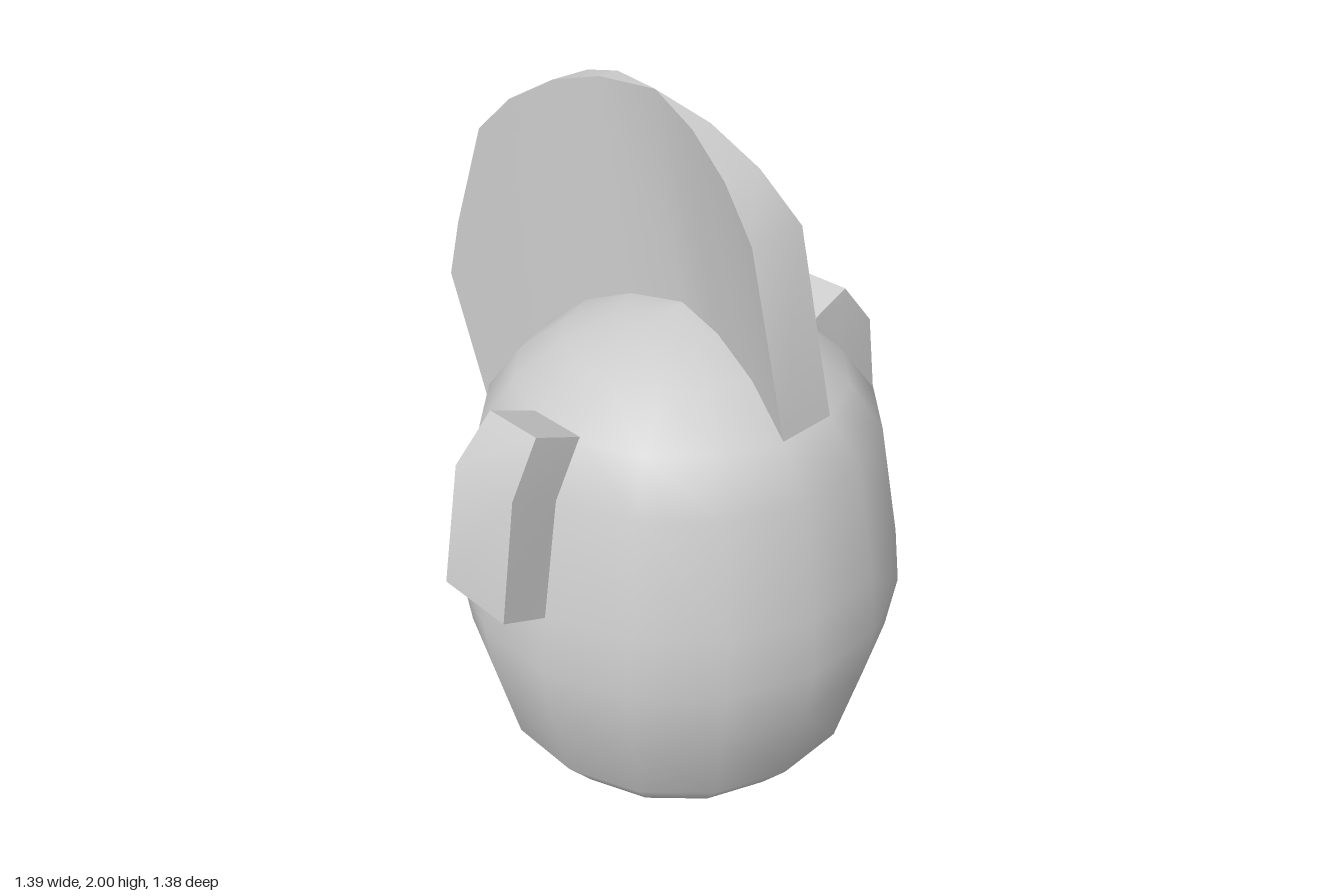
import * as THREE from 'three';
import { toCreasedNormals } from 'three/addons/utils/BufferGeometryUtils.js';

const material = new THREE.MeshStandardMaterial({ color: 0xcccccc, side: THREE.DoubleSide });
const CENTRE_Z = 0.1;

// Closed strip through a row of four-cornered sections (outer+, outer-, inner-, inner+).
function stripGeometry(sections) {
  const positions = [];
  const quad = (a, b, c, d) => {
    for (const p of [a, b, c, a, c, d]) positions.push(...p);
  };
  for (let k = 0; k < sections.length - 1; k++) {
    const s = sections[k], n = sections[k + 1];
    for (let j = 0; j < 4; j++) {
      const i = (j + 1) % 4;
      quad(s[i], s[j], n[j], n[i]);
    }
  }
  quad(...sections[0]);
  quad(...[...sections[sections.length - 1]].reverse());
  const geometry = new THREE.BufferGeometry();
  geometry.setAttribute('position', new THREE.Float32BufferAttribute(positions, 3));
  return toCreasedNormals(geometry, 0.9);
}

function addMesh(group, name, geometry) {
  const mesh = new THREE.Mesh(geometry, material);
  mesh.name = name;
  group.add(mesh);
  return mesh;
}

export function createModel() {
  const model = new THREE.Group();
  model.name = 'crestedEgg';

  // Egg-shaped body: radius, height
  const profile = [
    [0, 0], [0.155, 0.022], [0.3, 0.085], [0.428, 0.18], [0.52, 0.3], [0.582, 0.55],
    [0.603, 0.71], [0.582, 0.87], [0.52, 1.18], [0.428, 1.3], [0.3, 1.4], [0.155, 1.46], [0, 1.48],
  ].map(([r, y]) => new THREE.Vector2(r, y));
  const body = addMesh(model, 'body', new THREE.LatheGeometry(profile, 16, Math.PI / 16));
  body.position.z = CENTRE_Z;

  // Crest, front to back: outer z, outer y, inner z, inner y; pinched where it crosses the top
  const crest = [
    [0.41, 1.76, 0.52, 1.3], [0.3, 1.87, 0.39, 1.4], [0.17, 1.95, 0.25, 1.46],
    [0.02, 2.0, 0.1, 1.48], [-0.14, 2.0, -0.05, 1.46], [-0.28, 1.965, -0.19, 1.4],
    [-0.42, 1.89, -0.32, 1.3], [-0.53, 1.79, -0.41, 1.18], [-0.64, 1.5, -0.47, 0.87],
    [-0.69, 1.33, -0.49, 0.71],
  ].map(([oz, oy, iz, iy]) => {
    const w = Math.abs(iz - CENTRE_Z) * 0.199;
    const shift = -0.015;
    return [[shift + w, oy, oz], [shift - w, oy, oz], [-w, iy, iz], [w, iy, iz]];
  });
  addMesh(model, 'crest', stripGeometry(crest));

  // Ears, top to bottom: outer x, outer y, outer half width, inner x, inner y, inner half width
  const ear = [
    [0.545, 1.36, 0.083, 0.415, 1.305, 0.082],
    [0.64, 1.24, 0.105, 0.5, 1.18, 0.1],
    [0.695, 0.92, 0.112, 0.565, 0.865, 0.112],
  ];
  for (const [name, side] of [['leftEar', 1], ['rightEar', -1]]) {
    const sections = ear.map(([ox, oy, ow, ix, iy, iw]) => [
      [side * ox, oy, CENTRE_Z + side * ow], [side * ox, oy, CENTRE_Z - side * ow],
      [side * ix, iy, CENTRE_Z - side * iw], [side * ix, iy, CENTRE_Z + side * iw],
    ]);
    addMesh(model, name, stripGeometry(sections));
  }
  return model;
}
